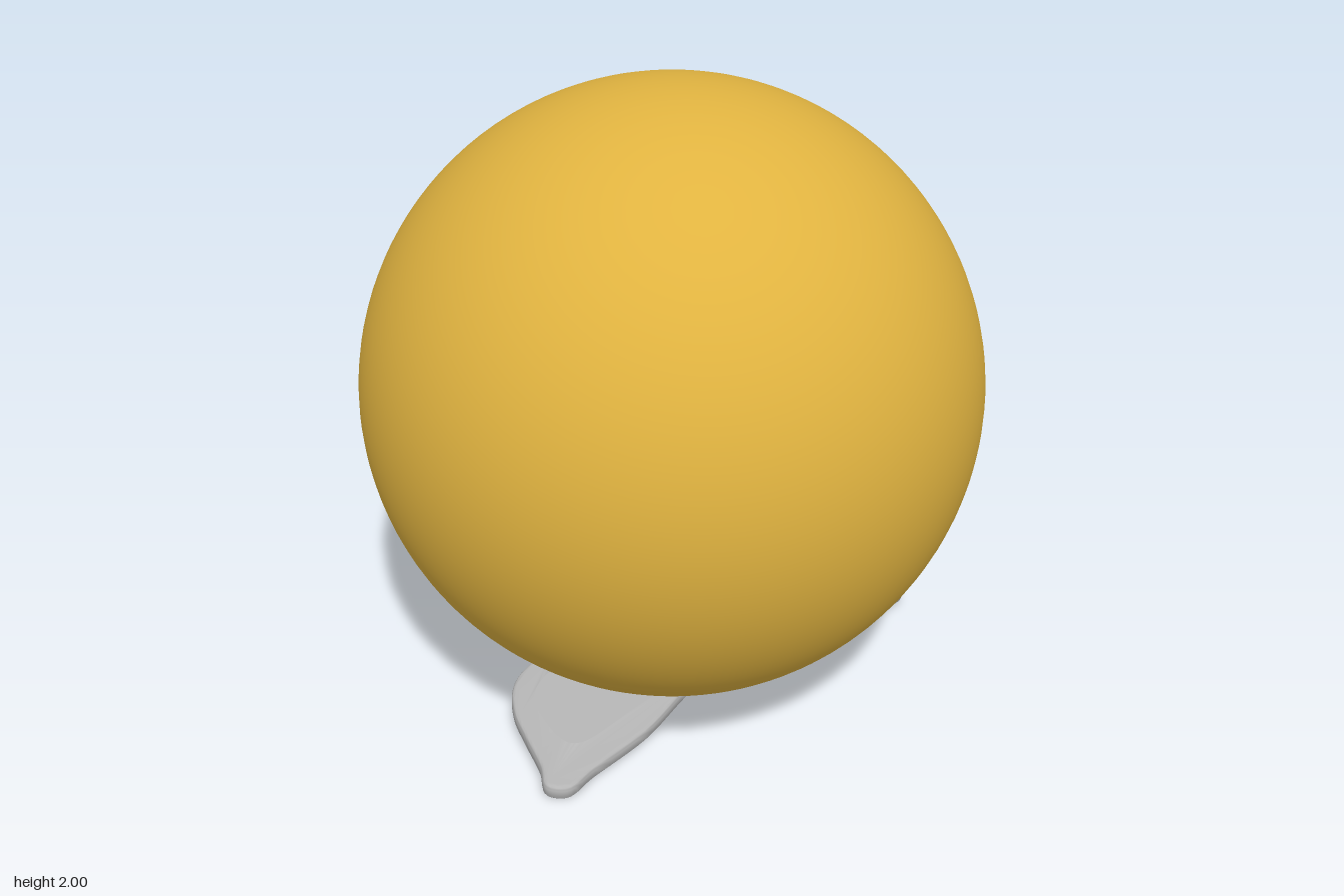
import * as THREE from 'three';
import { toCreasedNormals } from 'three/addons/utils/BufferGeometryUtils.js';

const R = 0.95;
const CENTRE_Y = 1.05;

// Half outline of the eyewear frame as [sideways, forward], from the brow round to the nose
const FRAME_HALF = [
  [0.15, 0.2], [0.4, 0.27], [0.64, 0.295], [0.75, 0.31], [0.795, 0.26], [0.755, 0.18], [0.715, 0.06],
  [0.67, -0.06], [0.59, -0.16], [0.45, -0.21], [0.3, -0.18], [0.16, -0.06], [0.08, 0.075],
];
const LENS = [
  [0.16, 0.13], [0.2, 0.165], [0.4, 0.19], [0.6, 0.2], [0.645, 0.16], [0.635, 0.02],
  [0.58, -0.09], [0.45, -0.145], [0.31, -0.12], [0.2, -0.02],
];

const mirror = (points) => points.map(([x, z]) => [-x, z]).reverse();

// Smooth closed outline through a few points
function outline(points, samples) {
  const curve = new THREE.CatmullRomCurve3(points.map(([x, z]) => new THREE.Vector3(x, z, 0)), true, 'centripetal');
  return curve.getPoints(samples).slice(0, -1).map((p) => new THREE.Vector2(p.x, p.y));
}

// Flat-lying slab whose middle is at y
function slab(shape, height, bevel, y) {
  const depth = height - 2 * bevel;
  const geo = new THREE.ExtrudeGeometry(shape, {
    depth, bevelEnabled: bevel > 0, bevelThickness: bevel, bevelSize: bevel, bevelOffset: -bevel, bevelSegments: 4,
  });
  geo.translate(0, 0, -depth / 2);
  geo.rotateX(Math.PI / 2);
  geo.translate(0, y, 0);
  return toCreasedNormals(geo, 0.7);
}

export function createModel() {
  const model = new THREE.Group();
  const yellow = new THREE.MeshStandardMaterial({ name: 'golden yellow', color: 0xe0b340 });
  const grey = new THREE.MeshStandardMaterial({ name: 'light grey', color: 0xb4b4b4 });
  const brown = new THREE.MeshStandardMaterial({ name: 'brown', color: 0x7a5a3a, side: THREE.DoubleSide });

  const add = (parent, name, geometry, material) => {
    const mesh = new THREE.Mesh(geometry, material);
    mesh.name = name;
    parent.add(mesh);
    return mesh;
  };

  // Round head, its face turned to the ground
  add(model, 'head', new THREE.SphereGeometry(R, 96, 64), yellow).position.y = CENTRE_Y;

  // Crescent smile lying on the underside of the head
  const smile = new THREE.PlaneGeometry(2, 1, 48, 6);
  const pos = smile.attributes.position;
  for (let i = 0; i < pos.count; i++) {
    const s = pos.getX(i);
    const t = pos.getY(i) + 0.5;
    const r = 0.555 - 0.1 * t * Math.sqrt(Math.max(0, 1 - s * s));
    const a = s * 0.96;
    pos.setXYZ(i, r * Math.sin(a), -Math.sqrt(1 - r * r), -r * Math.cos(a));
  }
  smile.scale(R + 0.003, R + 0.003, R + 0.003);
  smile.computeVertexNormals();
  // Turn the strip to face outwards
  if (smile.attributes.normal.getY(150) > 0) {
    const index = smile.index;
    for (let i = 0; i < index.count; i += 3) {
      const b = index.getX(i + 1);
      index.setX(i + 1, index.getX(i + 2));
      index.setX(i + 2, b);
    }
    smile.computeVertexNormals();
  }
  add(model, 'smile', smile, brown).position.y = CENTRE_Y;

  // Eyewear lying under the head, slightly tilted
  const glasses = new THREE.Group();
  glasses.name = 'glasses';
  const lensPairs = [['leftLens', LENS], ['rightLens', mirror(LENS)]];
  const frame = new THREE.Shape(outline(
    [[0, 0.18], ...FRAME_HALF, [0, 0.115], ...mirror(FRAME_HALF)], 180));
  for (const [, points] of lensPairs) frame.holes.push(new THREE.Path(outline(points, 70)));
  add(glasses, 'glassesFrame', slab(frame, 0.05, 0.014, 0), grey);

  // Lenses sit near the upper face of the frame
  for (const [name, points] of lensPairs) {
    const lens = new THREE.Shape(outline(points, 70));
    add(glasses, name, slab(lens, 0.026, 0, 0.01), grey);
  }
  glasses.position.set(0.05, 0.067, 0);
  glasses.rotation.set(0.1, 0, 0.015);
  model.add(glasses);

  return model;
}
